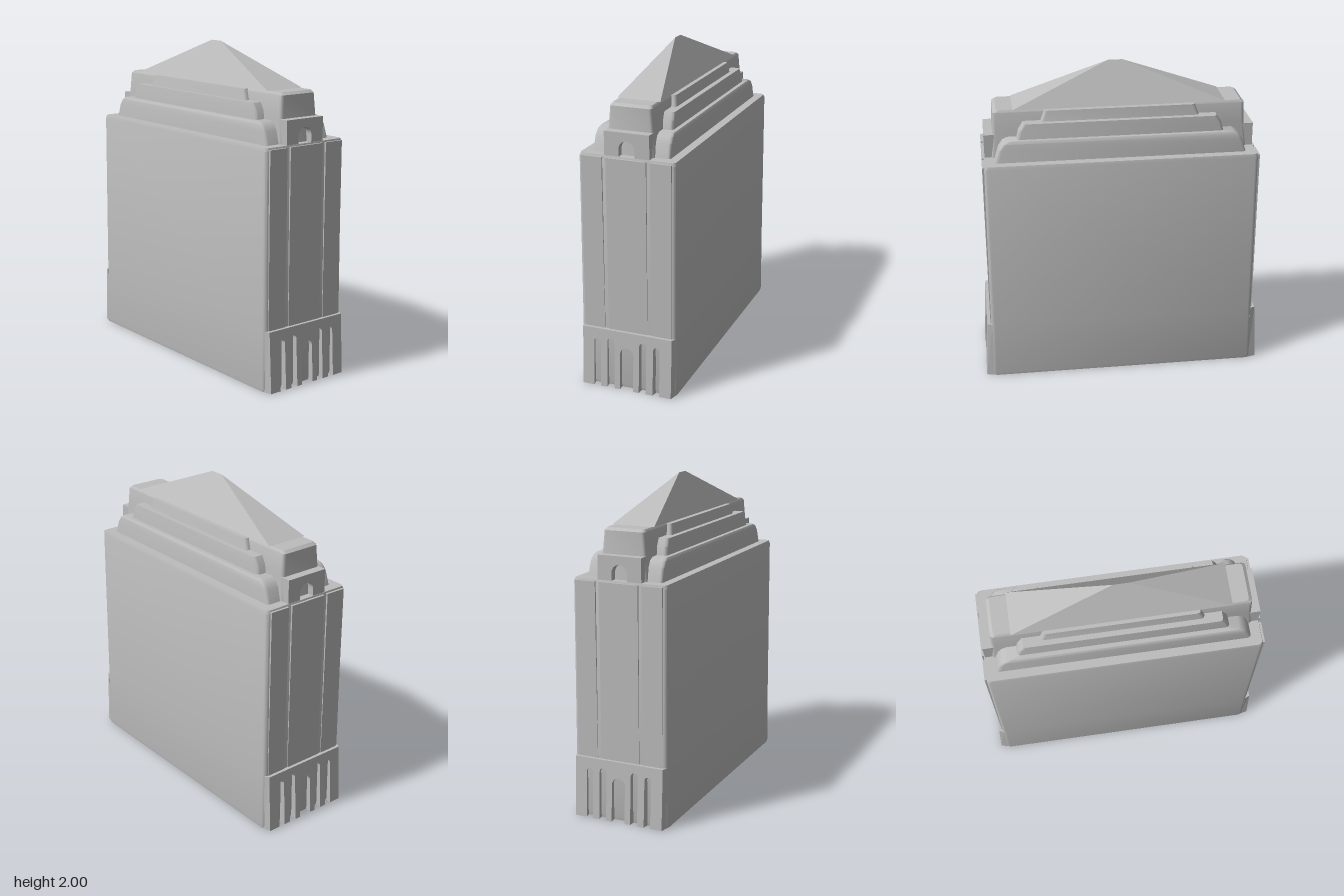
import * as THREE from 'three';
import { toCreasedNormals } from 'three/addons/utils/BufferGeometryUtils.js';

const stone = new THREE.MeshStandardMaterial({ color: 0xbcbcbc, side: THREE.DoubleSide });
stone.name = 'grey stone';

// Rounded rectangle in plan, as a loop of [x, z] points
function planLoop(hx, hz, r) {
  const points = [];
  const corners = [[1, 1], [-1, 1], [-1, -1], [1, -1]];
  corners.forEach(([sx, sz], c) => {
    for (let i = 0; i <= 3; i++) {
      const a = c * Math.PI / 2 + i * Math.PI / 6;
      points.push([sx * (hx - r) + r * Math.cos(a), sz * (hz - r) + r * Math.sin(a)]);
    }
  });
  return points;
}

// Stack of plan loops [y, halfX, halfZ], closed on top and open below
function tier(name, levels, r = 0.02) {
  const pos = [];
  const loops = levels.map(([y, hx, hz]) => planLoop(hx, hz, r).map(([x, z]) => [x, y, z]));
  const n = loops[0].length;
  const top = loops[loops.length - 1];
  for (let i = 0; i < n; i++) {
    const j = (i + 1) % n;
    for (let k = 0; k < loops.length - 1; k++) {
      const a = loops[k][i], b = loops[k][j], c = loops[k + 1][j], d = loops[k + 1][i];
      pos.push(...a, ...c, ...b, ...a, ...d, ...c);
    }
    pos.push(0, top[0][1], 0, ...top[j], ...top[i]);
  }
  return solid(name, pos);
}

function solid(name, pos) {
  const g = new THREE.BufferGeometry();
  g.setAttribute('position', new THREE.Float32BufferAttribute(pos, 3));
  return mesh(name, toCreasedNormals(g, 0.6));
}

function mesh(name, geometry) {
  const m = new THREE.Mesh(geometry, stone);
  m.name = name;
  return m;
}

// Wall in the z-y plane with arched openings [centre, halfWidth, springHeight]
function arcade(halfWidth, y0, y1, depth, openings) {
  const s = new THREE.Shape();
  s.moveTo(-halfWidth, y0);
  for (const [c, w, spring] of openings) {
    s.lineTo(c - w, y0);
    s.lineTo(c - w, spring);
    s.absarc(c, spring, w, Math.PI, 0, true);
    s.lineTo(c + w, y0);
  }
  s.lineTo(halfWidth, y0);
  s.lineTo(halfWidth, y1);
  s.lineTo(-halfWidth, y1);
  s.closePath();
  return new THREE.ExtrudeGeometry(s, { depth, bevelEnabled: false, curveSegments: 6 });
}

export function createModel() {
  const model = new THREE.Group();
  model.name = 'slabBuilding';

  // Hollow main slab and the stepped tiers above it
  model.add(
    tier('mainSlab', [[0, 0.845, 0.305], [0.02, 0.85, 0.308], [0.37, 0.845, 0.305], [1.44, 0.838, 0.302], [1.46, 0.832, 0.296]], 0.025),
    tier('lowerStep', [[1.46, 0.77, 0.243], [1.54, 0.745, 0.24], [1.575, 0.72, 0.237], [1.59, 0.69, 0.23]]),
    tier('middleStep', [[1.58, 0.635, 0.205], [1.64, 0.62, 0.202], [1.685, 0.59, 0.198]]),
    tier('upperStep', [[1.67, 0.49, 0.168], [1.75, 0.46, 0.155]]),
    tier('crownBlock', [[1.46, 0.79, 0.15], [1.62, 0.775, 0.14], [1.74, 0.77, 0.13], [1.755, 0.75, 0.12]])
  );

  // Hipped roof with a very short ridge
  const y = 1.755, hx = 0.65, hz = 0.135;
  const A = [-hx, y, hz], B = [hx, y, hz], C = [hx, y, -hz], D = [-hx, y, -hz];
  const P = [-0.035, 2, 0.01], Q = [0.055, 2, 0.01];
  model.add(solid('hippedRoof', [
    ...A, ...B, ...Q, ...A, ...Q, ...P,
    ...C, ...D, ...P, ...C, ...P, ...Q,
    ...B, ...C, ...Q, ...D, ...A, ...P,
  ]));

  // Both narrow ends: pillared entrance, pilasters and arched niche
  for (const side of [1, -1]) {
    const end = new THREE.Group();
    end.name = side > 0 ? 'leftEnd' : 'rightEnd';
    end.rotation.y = side * Math.PI / 2;

    const base = arcade(0.3, 0, 0.375, 0.03, [
      [-0.2, 0.022, 0.29], [-0.108, 0.024, 0.3], [0, 0.045, 0.23],
      [0.108, 0.024, 0.3], [0.2, 0.022, 0.29],
    ]);
    // Lean the outer face outwards at the foot and narrow it slightly
    const p = base.attributes.position;
    for (let i = 0; i < p.count; i++) {
      if (p.getZ(i) > 0.02) {
        p.setZ(i, 0.03 + 0.02 * (1 - p.getY(i) / 0.375));
        p.setX(i, p.getX(i) * 0.96);
      }
    }
    base.computeVertexNormals();
    const entrance = mesh('pillaredEntrance', base);
    entrance.position.z = 0.838;

    const niche = mesh('archedNiche', arcade(0.14, 1.45, 1.605, 0.065, [[0, 0.05, 1.505]]));
    niche.position.z = 0.765;
    end.add(entrance, niche);

    for (const [z, w] of [[-0.215, 0.13], [0, 0.25], [0.215, 0.13]]) {
      const strip = mesh('pilaster', new THREE.BoxGeometry(w, 1.08, 0.03));
      strip.position.set(z, 0.91, 0.834);
      end.add(strip);
    }
    model.add(end);
  }
  return model;
}
